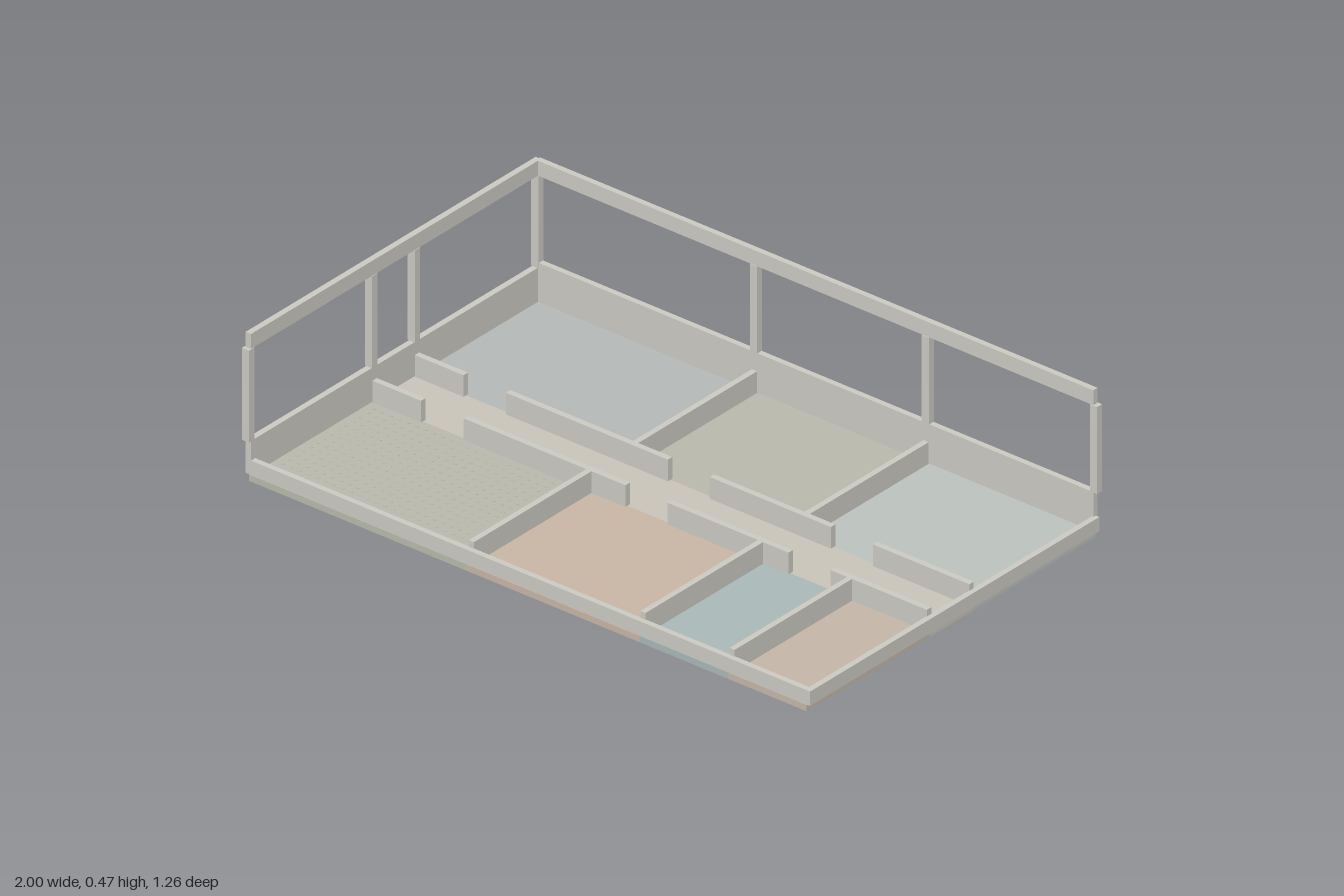
import * as THREE from 'three';
import { mergeGeometries } from 'three/addons/utils/BufferGeometryUtils.js';

export function createModel() {
  const model = new THREE.Group();
  const wallMat = new THREE.MeshStandardMaterial({ color: 0xcbcac2 });

  // Box given by its extents on each axis
  const block = (name, [x0, x1], [y0, y1], [z0, z1], material = wallMat) => {
    const mesh = new THREE.Mesh(new THREE.BoxGeometry(x1 - x0, y1 - y0, z1 - z0), material);
    mesh.position.set((x0 + x1) / 2, (y0 + y1) / 2, (z0 + z1) / 2);
    mesh.name = name;
    model.add(mesh);
    return mesh;
  };

  // Floor slabs, one per room
  const FLOOR = 0.02;
  const room = (name, x, z, color) =>
    block(name, x, [0, FLOOR], z, new THREE.MeshStandardMaterial({ color }));
  const back = [-0.617, -0.092], front = [0.092, 0.617];
  room('backLeftFloor', [-0.985, -0.212], back, 0xb4bab8);
  room('backMiddleFloor', [-0.212, 0.394], back, 0xbab9ac);
  room('backRightFloor', [0.394, 0.985], back, 0xbcc2be);
  room('corridorFloor', [-0.985, 0.985], [-0.092, 0.092], 0xc8c4b8);
  room('texturedRoomFloor', [-0.985, -0.212], front, 0xb8baac);
  room('frontMiddleFloor', [-0.212, 0.394], front, 0xc8b5a4);
  room('blueRoomFloor', [0.394, 0.709], front, 0xa9b8b8);
  room('frontRightFloor', [0.709, 0.985], front, 0xc4b6a8);

  // Fine raised dots on the textured floor
  const dots = [];
  for (let x = -0.95; x < -0.24; x += 0.03) {
    for (let z = 0.125; z < 0.59; z += 0.03) {
      dots.push(new THREE.BoxGeometry(0.01, 0.001, 0.006).translate(x, FLOOR + 0.0005, z));
    }
  }
  const studs = new THREE.Mesh(mergeGeometries(dots), new THREE.MeshStandardMaterial({ color: 0xb8baac }));
  studs.name = 'floorStuds';
  model.add(studs);

  // Low corridor walls with door gaps, on both sides of the corridor
  const LOW = [FLOOR, 0.088];
  for (const [a, b] of [[-0.978, -0.805], [-0.655, -0.083], [0.065, 0.493], [0.642, 0.982]]) {
    block('corridorWallFront', [a, b], LOW, [0.081, 0.1]);
    block('corridorWallBack', [a, b], LOW, [-0.1, -0.081]);
  }

  // Low partitions between rooms
  for (const x of [-0.212, 0.394]) {
    block('backPartition', [x - 0.009, x + 0.009], LOW, [-0.608, -0.1]);
  }
  for (const x of [-0.212, 0.394, 0.709]) {
    block('frontPartition', [x - 0.009, x + 0.009], LOW, [0.1, 0.602]);
  }

  // Cut-down outer walls on the open sides
  block('frontCurb', [-0.985, 0.985], [0.022, 0.067], [0.6, 0.618]);
  block('rightCurb', [0.98, 0.998], [0.022, 0.067], [-0.617, 0.618]);

  // Tall outer walls: sill, posts and top rail around the window openings
  const RAIL = [0.418, 0.465];
  block('backSill', [-0.985, 0.985], [0.022, 0.145], [-0.625, -0.607]);
  block('backRail', [-0.985, 0.985], RAIL, [-0.625, -0.607]);
  for (const x of [-0.987, -0.214, 0.393, 0.987]) {
    block('backPost', [x - 0.0125, x + 0.0125], [0.145, 0.418], [-0.627, -0.605]);
  }
  block('sideSill', [-0.996, -0.977], [0.022, 0.129], [-0.62, 0.618]);
  block('sideRail', [-0.996, -0.977], RAIL, [-0.62, 0.618]);
  for (const z of [-0.616, -0.09, 0.092, 0.618]) {
    block('sidePost', [-1, -0.975], [0.129, 0.418], [z - 0.0115, z + 0.0115]);
  }

  return model;
}
